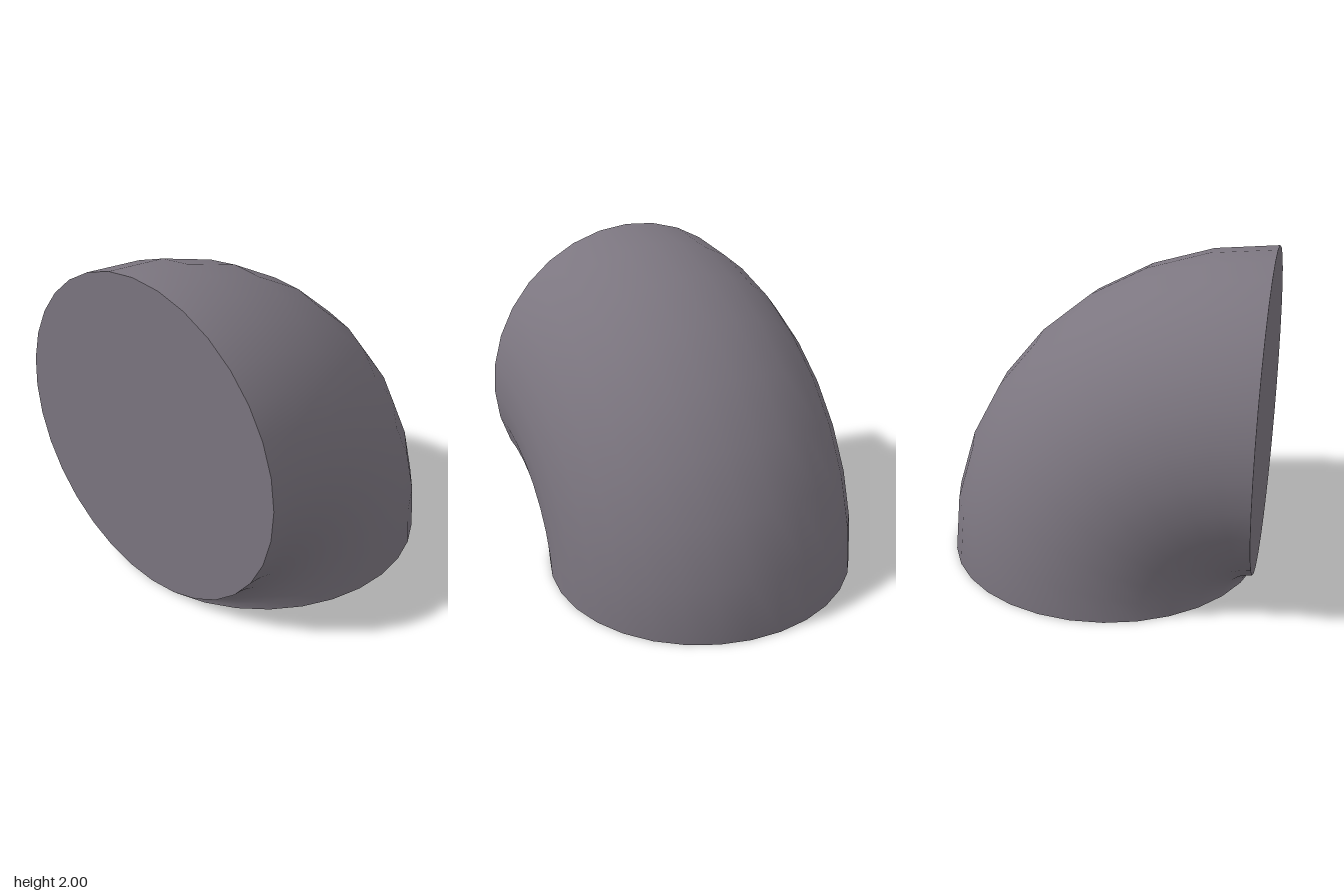
import * as THREE from 'three';

const SIDES = 32; // around the pipe
const STEPS = 8;  // along the bend

export function createModel() {
  const group = new THREE.Group();
  group.name = 'pipeElbow';
  const material = new THREE.MeshStandardMaterial({ color: 0x7c7680 });

  const add = (name, geometry) => {
    const mesh = new THREE.Mesh(geometry, material);
    mesh.name = name;
    group.add(mesh);
    return mesh;
  };

  // Quarter bend whose inner side pinches to a point at the corner
  add('bend', new THREE.TorusGeometry(1, 1, SIDES, STEPS, Math.PI / 2)).position.x = -1;

  // Flat end facing down
  add('bottomCap', new THREE.CircleGeometry(1, SIDES)).rotation.x = Math.PI / 2;

  // Flat end facing -x
  const sideCap = add('sideCap', new THREE.CircleGeometry(1, SIDES));
  sideCap.rotation.y = -Math.PI / 2;
  sideCap.position.set(-1, 1, 0);

  return group;
}
